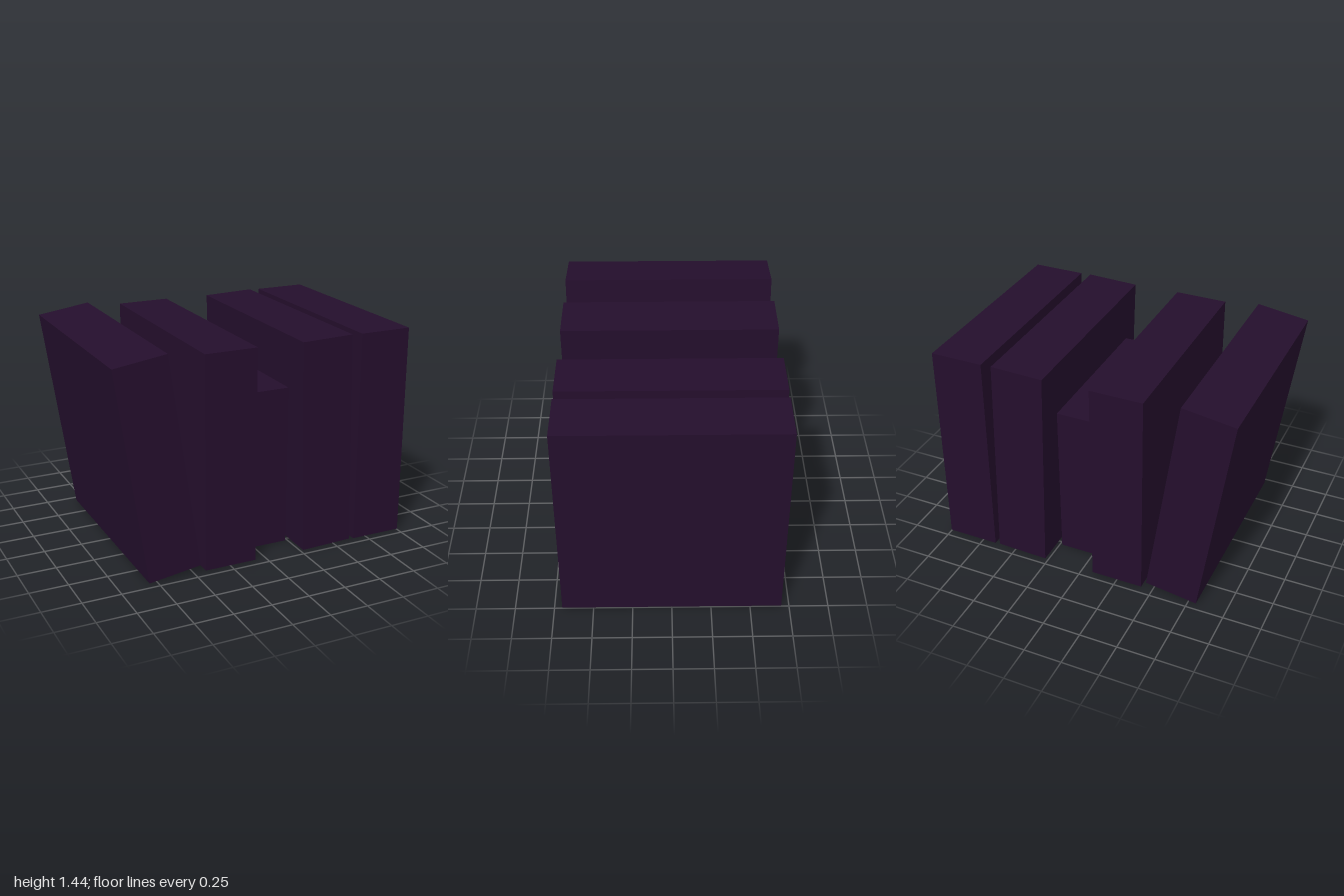
import * as THREE from 'three';

export function createModel() {
  const group = new THREE.Group();
  group.name = 'bookRow';
  const cover = new THREE.MeshStandardMaterial({ color: 0x240e2c });
  cover.name = 'dark purple';

  // One closed book; scale shrinks it evenly, tilt leans it sideways
  const addBook = (name, x, y, tilt = 0, scale = 1) => {
    const geometry = new THREE.BoxGeometry(0.347 * scale, 1.4 * scale, 1.4 * scale);
    const book = new THREE.Mesh(geometry, cover);
    book.name = name;
    book.position.set(x, y, 0);
    book.rotation.z = tilt;
    group.add(book);
  };

  addBook('leaningBook', -0.7285, 0.721, 0.142);
  addBook('uprightBook', -0.25, 0.707);
  addBook('smallBook', 0.101, 0.535, 0, 0.757);
  addBook('slightlyLeaningBook', 0.428, 0.706, 0.027);
  addBook('endBook', 0.8265, 0.707);

  return group;
}
